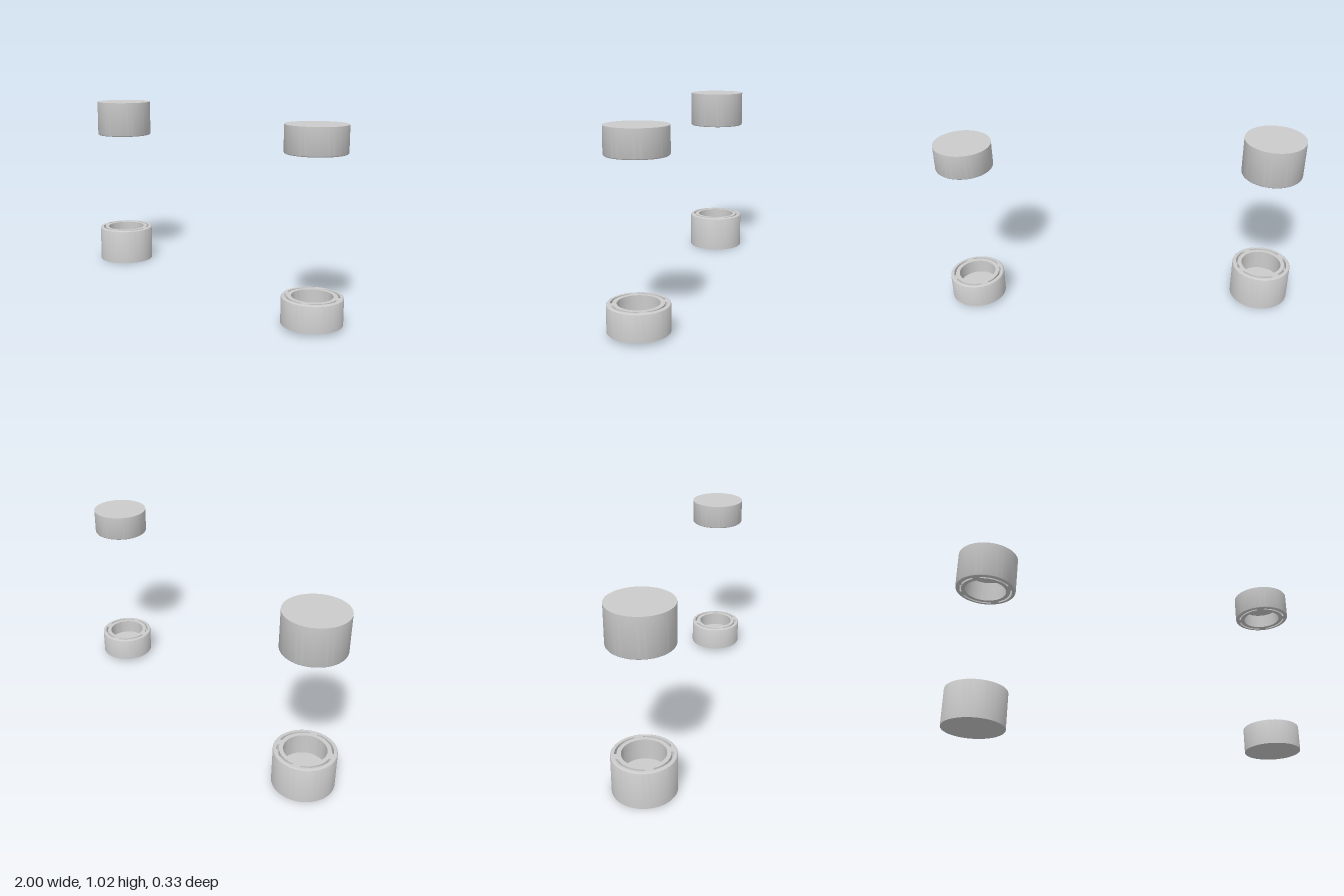
import * as THREE from 'three';
import { toCreasedNormals } from 'three/addons/utils/BufferGeometryUtils.js';

const material = new THREE.MeshStandardMaterial({ color: 0xcccccc });
const SEGMENTS = 72;

function part(name, geometry) {
  const mesh = new THREE.Mesh(toCreasedNormals(geometry, 0.6), material);
  mesh.name = name;
  return mesh;
}

function lathe(name, points) {
  return part(name, new THREE.LatheGeometry(points.map(([r, y]) => new THREE.Vector2(r, y)), SEGMENTS));
}

// Curved slot with rounded ends, centred on angle a
function slotPath(radius, width, a, span) {
  const path = new THREE.Path();
  const a0 = a - span / 2, a1 = a + span / 2, h = width / 2;
  path.absarc(0, 0, radius + h, a0, a1, false);
  path.absarc(radius * Math.cos(a1), radius * Math.sin(a1), h, a1, a1 + Math.PI, false);
  path.absarc(0, 0, radius - h, a1, a0, true);
  path.absarc(radius * Math.cos(a0), radius * Math.sin(a0), h, a0 + Math.PI, a0 + 2 * Math.PI, false);
  return path;
}

// Round cup standing on y = 0 with its mouth facing up
function makeCup(name, { radius, height, bore, depth, slotDepth }) {
  const cup = new THREE.Group();
  cup.name = name;
  const round = 0.008;
  const rimR = radius - round;
  const slotY = height - slotDepth;

  // Flat base, wall and rounded upper edge
  const outer = [[0, 0], [radius, 0], [radius, height - round]];
  for (let i = 1; i <= 5; i++) {
    const t = (i / 5) * Math.PI / 2;
    outer.push([rimR + round * Math.cos(t), height - round + round * Math.sin(t)]);
  }
  cup.add(lathe('outerShell', outer));

  // Bore below the rim, and its floor
  cup.add(lathe('bore', [[bore, slotY], [bore, height - depth], [0, height - depth]]));

  // Rim ring cut by four curved slots
  const shape = new THREE.Shape();
  shape.absarc(0, 0, rimR, 0, Math.PI * 2, false);
  const hole = new THREE.Path();
  hole.absarc(0, 0, bore, 0, Math.PI * 2, true);
  shape.holes.push(hole);
  for (let i = 0; i < 4; i++) {
    shape.holes.push(slotPath(radius * 0.845, radius * 0.07, 1.26 + i * Math.PI / 2, 1.2));
  }
  const rim = new THREE.ExtrudeGeometry(shape, {
    depth: slotDepth, bevelEnabled: false, curveSegments: SEGMENTS / 2,
  });
  rim.rotateX(-Math.PI / 2).translate(0, slotY, 0);
  cup.add(part('slottedRim', rim));

  // Bottom of the slots
  const floor = new THREE.RingGeometry(bore, rimR, SEGMENTS);
  floor.rotateX(-Math.PI / 2).translate(0, slotY, 0);
  cup.add(part('slotFloor', floor));
  return cup;
}

export function createModel() {
  const model = new THREE.Group();
  model.name = 'cupSet';
  const sizes = [
    { label: 'large', x: -0.833, lowerY: 0, upperY: 1.025,
      radius: 0.167, height: 0.21, bore: 0.114, depth: 0.115, slotDepth: 0.04 },
    { label: 'small', x: 0.845, lowerY: 0.02, upperY: 1.008,
      radius: 0.155, height: 0.14, bore: 0.104, depth: 0.08, slotDepth: 0.035 },
  ];
  for (const size of sizes) {
    // Lower cup opens upward, upper cup is turned over to face it
    const lower = makeCup(size.label + 'LowerCup', size);
    lower.position.set(size.x, size.lowerY, 0);
    const upper = makeCup(size.label + 'UpperCup', size);
    upper.position.set(size.x, size.upperY, 0);
    upper.rotation.x = Math.PI;
    model.add(lower, upper);
  }
  return model;
}
